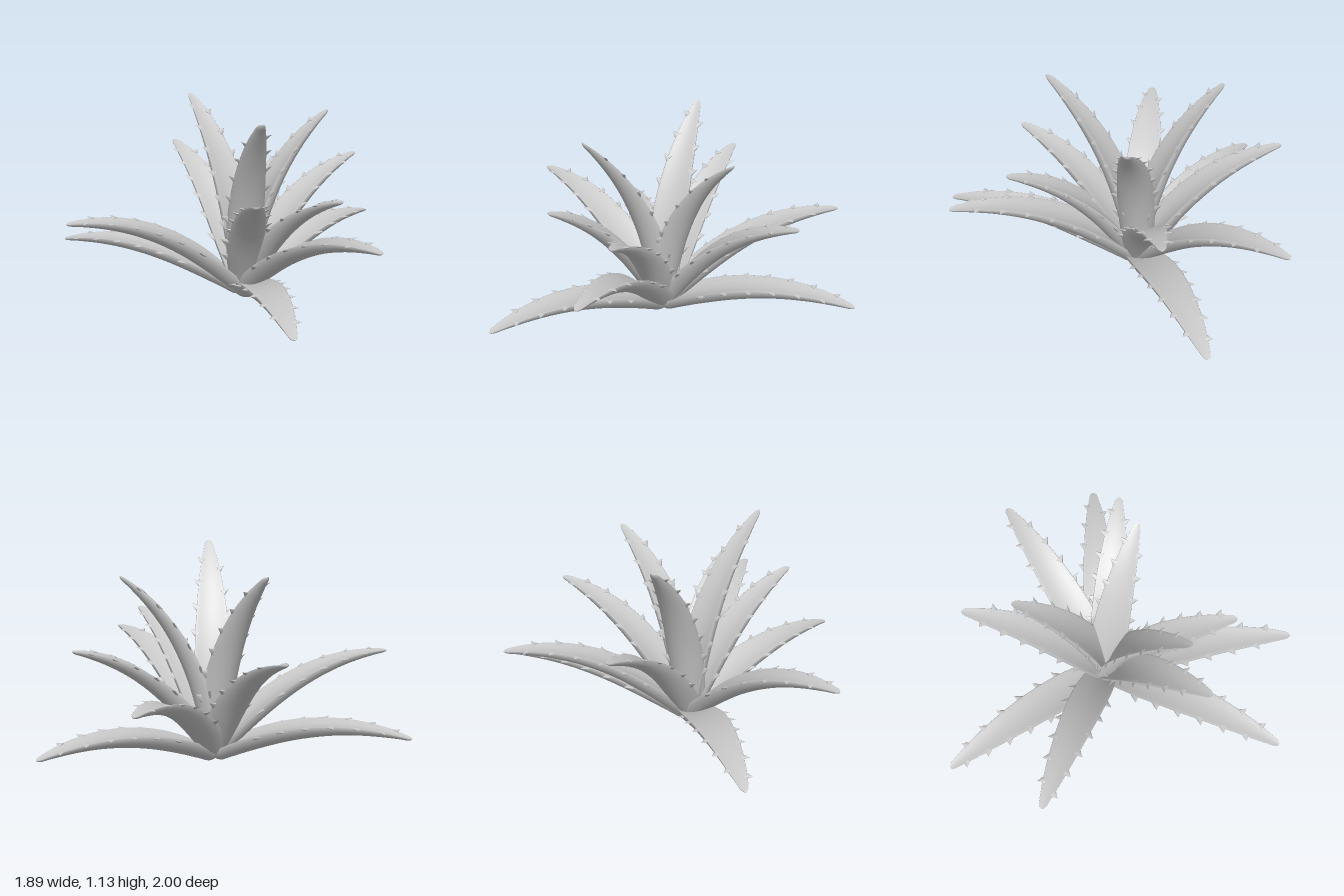
import * as THREE from 'three';

const material = new THREE.MeshStandardMaterial({ color: 0xcccccc, side: THREE.DoubleSide });
const UP = new THREE.Vector3(0, 1, 0);
const CENTRE = new THREE.Vector3(0.04, 0.037, -0.1);
const ROWS = 40, SIDES = 24;

// Half width of a leaf at even steps from root to tip, rounded off at both ends
const widths = new THREE.SplineCurve(
  [0.072, 0.092, 0.103, 0.102, 0.095, 0.083, 0.067, 0.046, 0.02].map((w, i) => new THREE.Vector2(i / 8, w)));
const halfWidth = t => widths.getPoint(t).y
  * Math.sqrt(1.0001 - Math.max(0, (t - 0.97) / 0.03, 1 - t / 0.04) ** 2);

// Leaf tiers: reach and height place the middle control point of the curve
const tiers = [
  { name: 'outerLeaf', reach: 0.49, height: 0.38, tips: [[0.08, 0.26, 1], [0.94, 0.26, -0.71], [-0.95, 0.26, -0.53]] },
  { name: 'lowerLeaf', reach: 0.44, height: 0.58, tips: [[0.57, 0.57, 0.77], [0.46, 0.57, -1], [-0.94, 0.57, 0.08]] },
  { name: 'middleLeaf', reach: 0.36, height: 0.62, tips: [[-0.02, 0.78, 0.58], [0.44, 0.75, 0.49], [0.77, 0.73, -0.43], [-0.26, 0.75, -0.82]] },
  { name: 'innerLeaf', reach: 0.1, height: 0.74, tips: [[0.04, 1.15, 0.4], [0.53, 1.06, -0.18], [-0.2, 1.11, -0.5]] },
];

// Centre line of a leaf plus a frame (side, normal, tangent) at any t
function leafSpine(tip, reach, height) {
  const end = new THREE.Vector3(...tip);
  const bend = CENTRE.clone().lerp(end, reach).setY(height);
  const curve = new THREE.QuadraticBezierCurve3(CENTRE, bend, end);
  const side = UP.clone().cross(end.clone().sub(CENTRE).setY(0).normalize());
  return t => {
    const tangent = curve.getTangent(t);
    return { p: curve.getPoint(t), side, tangent, normal: tangent.clone().cross(side) };
  };
}

// Fleshy blade: slightly channelled top, rounded underside, closed at both ends
function bladeGeometry(spine) {
  const pos = [], index = [];
  for (let i = 0; i <= ROWS; i++) {
    const t = (1 - Math.cos(i / ROWS * Math.PI)) / 2;
    const f = spine(t), w = halfWidth(t);
    const camber = 0.2 + 0.2 * (1 - t) ** 3;
    for (let j = 0; j < SIDES; j++) {
      const a = j / SIDES * Math.PI * 2;
      const u = Math.cos(a), s = Math.sin(a);
      const v = camber * u * u + s * (s > 0 ? 0.1 : 0.6);
      pos.push(...f.p.clone().addScaledVector(f.side, u * w).addScaledVector(f.normal, v * w).toArray());
    }
  }
  for (let i = 0; i < ROWS; i++) for (let j = 0; j < SIDES; j++) {
    const a = i * SIDES + j, b = i * SIDES + (j + 1) % SIDES;
    index.push(a, b, b + SIDES, a, b + SIDES, a + SIDES);
  }
  const g = new THREE.BufferGeometry();
  g.setAttribute('position', new THREE.Float32BufferAttribute(pos, 3));
  g.setIndex(index);
  g.computeVertexNormals();
  return g;
}

// Thorn: flattened cone with its root sunk into the leaf edge
const thornGeometry = new THREE.ConeGeometry(0.5, 1, 8).translate(0, 0.3, 0);

function addThorns(leaf, spine, shift) {
  const count = 6;
  for (const s of [-1, 1]) for (let k = 0; k < count; k++) {
    const t = 0.22 + (k + (s > 0 ? 0.5 : 0.1) + shift) / count * 0.72;
    const f = spine(t), w = halfWidth(t);
    const out = f.side.clone().multiplyScalar(s)
      .addScaledVector(f.tangent, 0.6).addScaledVector(f.normal, 0.15).normalize();
    const flat = out.clone().cross(f.tangent).normalize();
    const along = out.clone().cross(flat);
    const thorn = new THREE.Mesh(thornGeometry, material);
    thorn.name = 'thorn';
    const size = 0.068 - 0.03 * t;
    thorn.quaternion.setFromRotationMatrix(new THREE.Matrix4().makeBasis(along, out, flat));
    thorn.scale.set(size, size, size * 0.3);
    thorn.position.copy(f.p).addScaledVector(f.side, s * w * 0.95).addScaledVector(f.normal, w * 0.16);
    leaf.add(thorn);
  }
}

export function createModel() {
  const plant = new THREE.Group();
  plant.name = 'succulentPlant';
  for (const { name, reach, height, tips } of tiers) {
    tips.forEach((tip, i) => {
      const spine = leafSpine(tip, reach, height);
      const leaf = new THREE.Group();
      leaf.name = name + (i + 1);
      const blade = new THREE.Mesh(bladeGeometry(spine), material);
      blade.name = 'blade';
      leaf.add(blade);
      addThorns(leaf, spine, (i % 3) * 0.15);
      plant.add(leaf);
    });
  }
  return plant;
}
